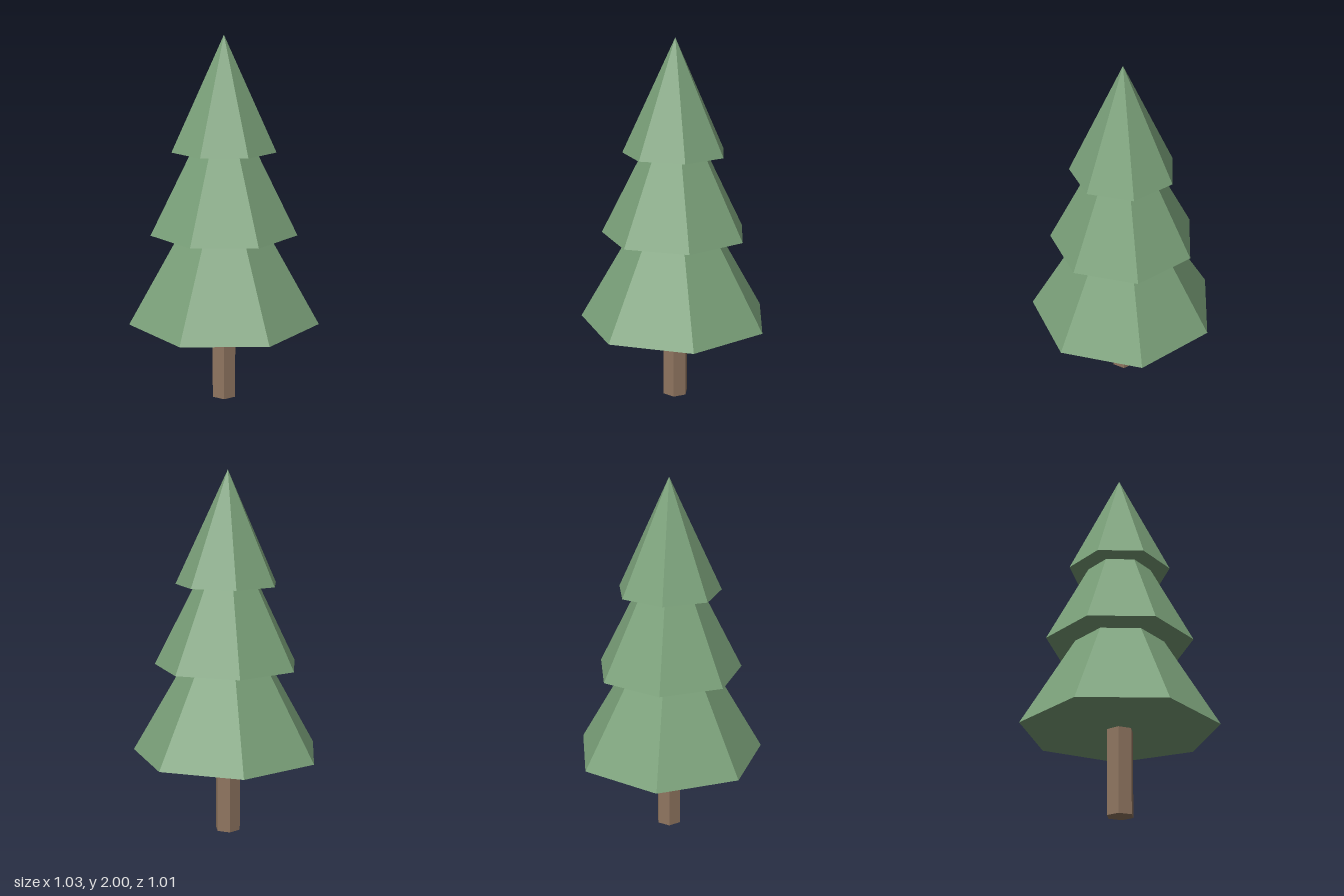
import * as THREE from 'three';

export function createModel() {
  const tree = new THREE.Group();
  tree.name = 'pineTree';
  const foliage = new THREE.MeshStandardMaterial({ color: 0x7aa079, flatShading: true });
  foliage.name = 'foliage green';
  const bark = new THREE.MeshStandardMaterial({ color: 0x8f7560, flatShading: true });
  bark.name = 'bark brown';
  const axisZ = 0.024; // the seven-sided outline sits slightly forward of its bounds

  // Six-sided trunk, reaching a little into the lowest tier
  const trunk = new THREE.Mesh(new THREE.CylinderGeometry(0.0725, 0.0725, 0.5, 6), bark);
  trunk.name = 'trunk';
  trunk.position.set(0, 0.25, axisZ + 0.003);
  tree.add(trunk);

  // Three overlapping seven-sided cones, one corner pointing back
  const tiers = [
    { name: 'lowerBranches', radius: 0.529, base: 0.455, tip: 1.37 },
    { name: 'middleBranches', radius: 0.404, base: 0.945, tip: 1.74 },
    { name: 'topBranches', radius: 0.285, base: 1.39, tip: 2 },
  ];
  for (const { name, radius, base, tip } of tiers) {
    const height = tip - base;
    const tier = new THREE.Mesh(new THREE.ConeGeometry(radius, height, 7, 1, false, Math.PI), foliage);
    tier.name = name;
    tier.position.set(0, base + height / 2, axisZ);
    tree.add(tier);
  }
  return tree;
}
